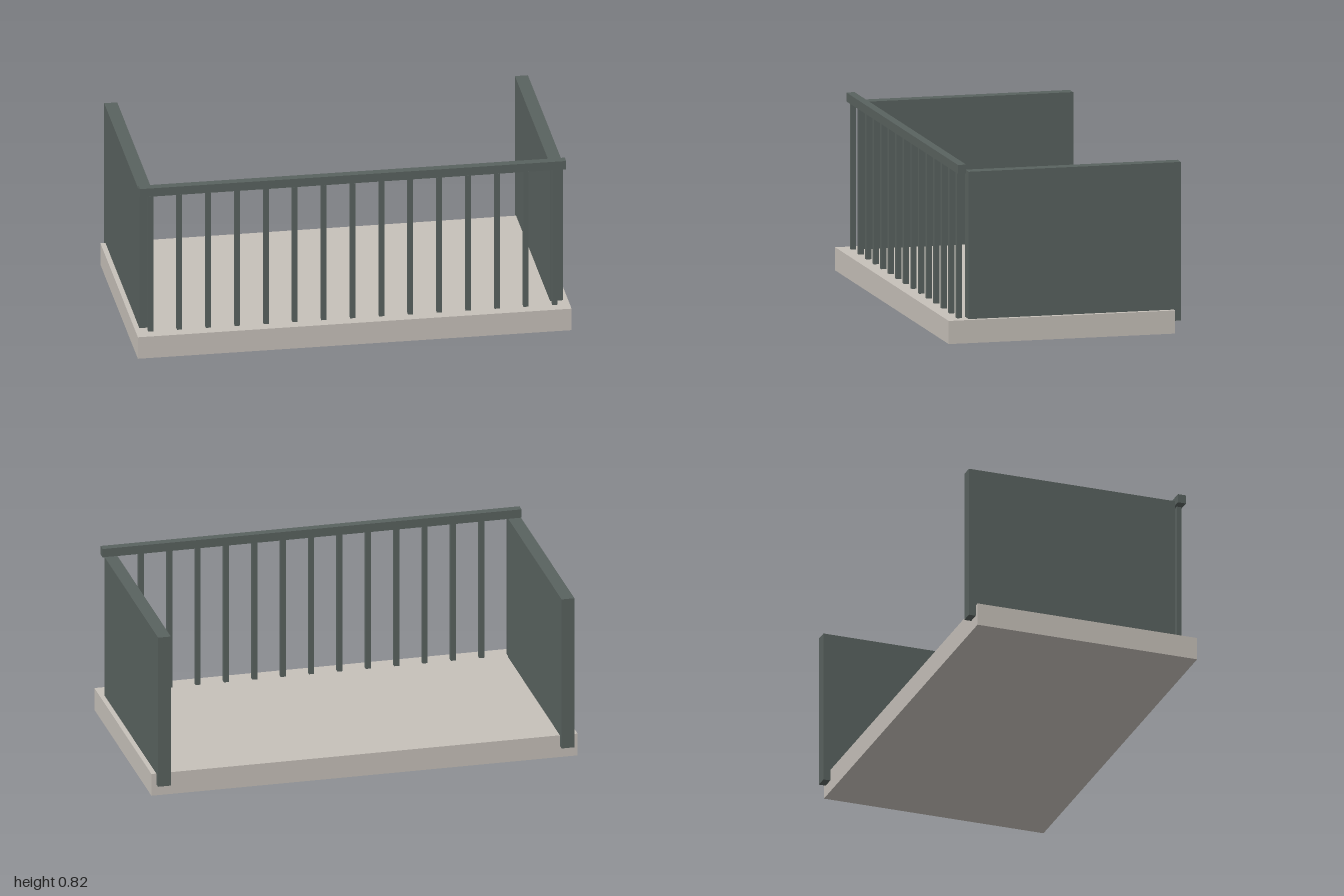
import * as THREE from 'three';

const metal = new THREE.MeshStandardMaterial({ color: 0x59625f });
const stone = new THREE.MeshStandardMaterial({ color: 0xc6c0b9 });

// Box given by its lower and upper corners
function box(name, material, [x0, y0, z0], [x1, y1, z1]) {
  const mesh = new THREE.Mesh(new THREE.BoxGeometry(x1 - x0, y1 - y0, z1 - z0), material);
  mesh.position.set((x0 + x1) / 2, (y0 + y1) / 2, (z0 + z1) / 2);
  mesh.name = name;
  return mesh;
}

export function createModel() {
  const balcony = new THREE.Group();
  balcony.name = 'balcony';

  // Floor slab
  balcony.add(box('floorSlab', stone, [-1, 0, -0.517], [1, 0.107, 0.55]));

  // Side walls, overhanging the back edge of the slab
  balcony.add(box('leftWall', metal, [0.917, 0.055, -0.55], [0.977, 0.788, 0.45]));
  balcony.add(box('rightWall', metal, [-0.977, 0.055, -0.55], [-0.917, 0.788, 0.45]));

  // Front railing: handrail and evenly spaced square balusters
  const railing = new THREE.Group();
  railing.name = 'railing';
  railing.add(box('handrail', metal, [-0.983, 0.782, 0.463], [0.983, 0.823, 0.502]));
  const count = 15, span = 0.932, half = 0.012;
  for (let i = 0; i < count; i++) {
    const x = -span + (2 * span * i) / (count - 1);
    railing.add(box('baluster', metal, [x - half, 0.107, 0.472], [x + half, 0.779, 0.496]));
  }
  balcony.add(railing);

  return balcony;
}
